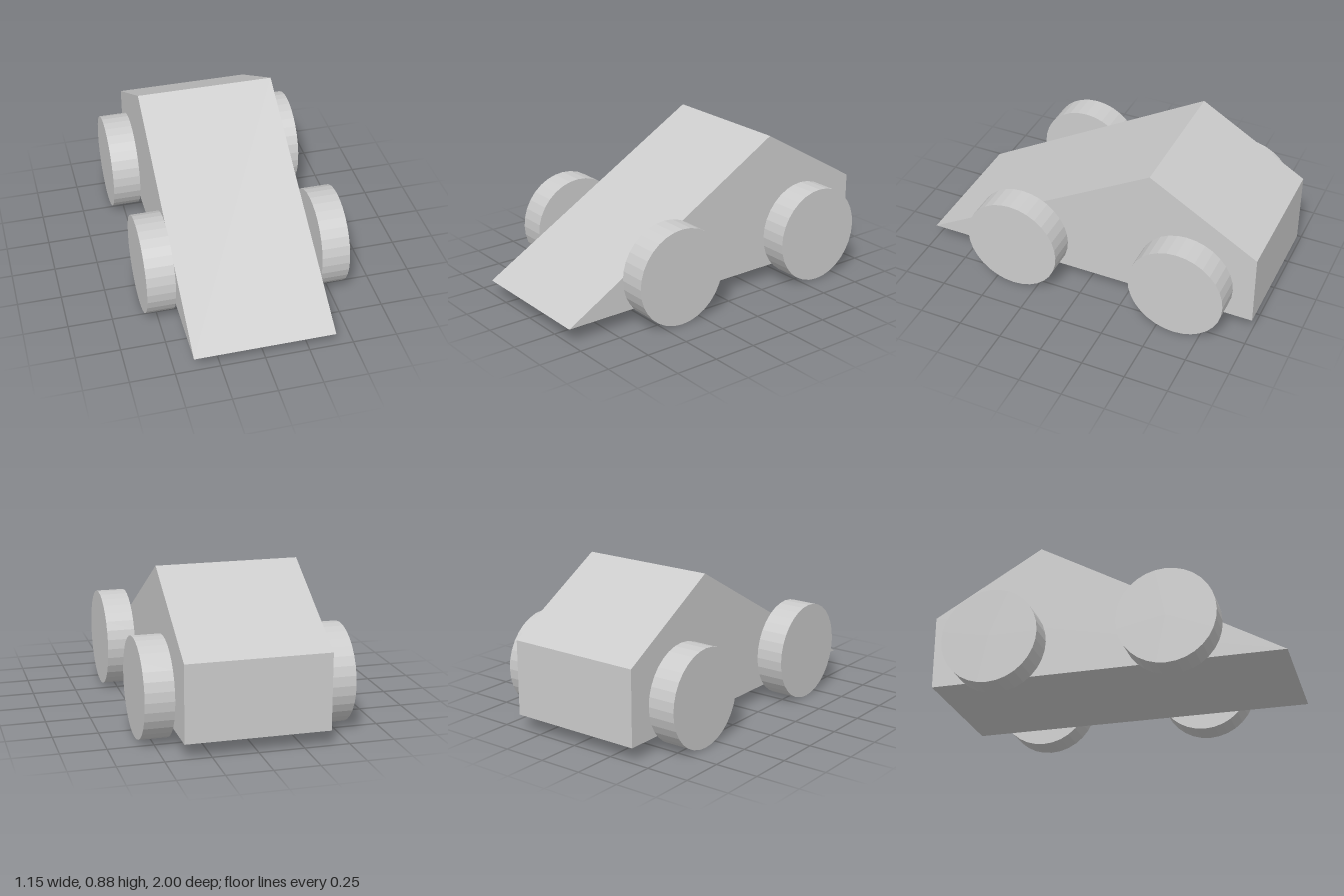
import * as THREE from 'three';

const BODY_WIDTH = 0.794;
const WHEEL_RADIUS = 0.277;
const WHEEL_WIDTH = 0.16;
const WHEEL_X = 0.495;

export function createModel() {
  const model = new THREE.Group();
  model.name = 'wedgeCar';
  const material = new THREE.MeshStandardMaterial({ color: 0xcccccc, flatShading: true });

  // Wedge body: side profile as (z, y), extruded across the width
  const profile = new THREE.Shape([
    [1, 0.083], [-0.375, 0.875], [-1, 0.51], [-1, 0.083],
  ].map(([z, y]) => new THREE.Vector2(z, y)));
  const bodyGeometry = new THREE.ExtrudeGeometry(profile, { depth: BODY_WIDTH, bevelEnabled: false });
  bodyGeometry.translate(0, 0, -BODY_WIDTH / 2);
  bodyGeometry.rotateY(-Math.PI / 2);
  const body = new THREE.Mesh(bodyGeometry, material);
  body.name = 'body';
  model.add(body);

  // Four faceted wheels, standing just clear of the body sides
  const wheelGeometry = new THREE.CylinderGeometry(WHEEL_RADIUS, WHEEL_RADIUS, WHEEL_WIDTH, 32);
  wheelGeometry.rotateZ(Math.PI / 2);
  for (const [end, z] of [['front', 0.388], ['rear', -0.606]]) {
    for (const [side, sign] of [['Left', 1], ['Right', -1]]) {
      const wheel = new THREE.Mesh(wheelGeometry, material);
      wheel.name = `${end}${side}Wheel`;
      wheel.position.set(sign * WHEEL_X, WHEEL_RADIUS, z);
      model.add(wheel);
    }
  }

  return model;
}
